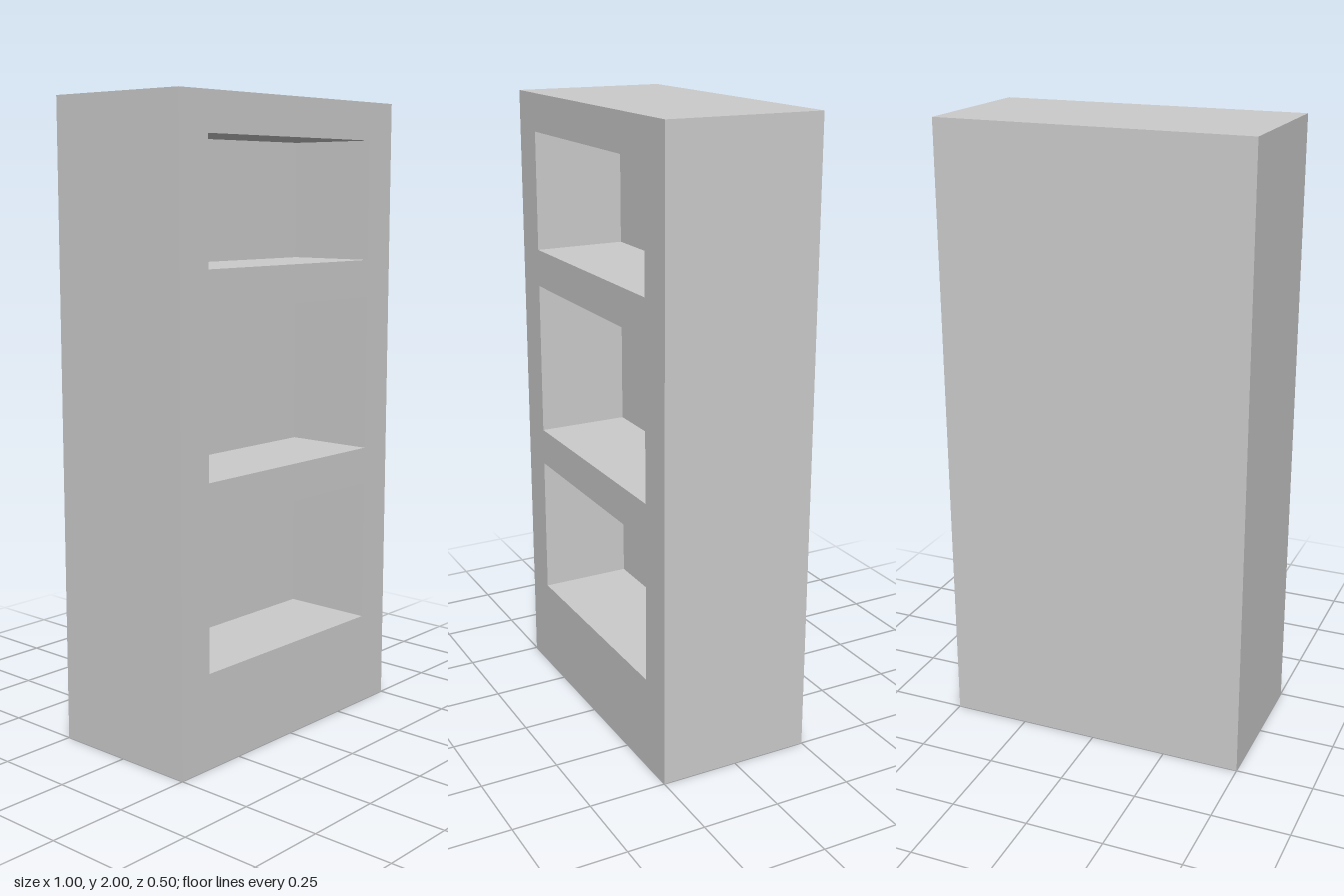
import * as THREE from 'three';

const W = 1, H = 2, D = 0.5;
const NICHE_HALF = 0.38, NICHE_DEPTH = 0.3;
// bottom and top height of each shelf opening
const NICHES = [['lowerShelf', 0.3, 0.76], ['middleShelf', 0.88, 1.38], ['upperShelf', 1.5, 1.88]];

// box without its +z face; inward = true turns it inside out
function openBox(w, h, d, inward) {
  const geo = new THREE.BoxGeometry(w, h, d);
  const index = Array.from(geo.index.array);
  index.splice(24, 6);
  if (inward) {
    index.reverse();
    const n = geo.attributes.normal;
    for (let i = 0; i < n.count; i++) n.setXYZ(i, -n.getX(i), -n.getY(i), -n.getZ(i));
  }
  geo.setIndex(index);
  geo.clearGroups();
  return geo;
}

function rectangle(path, x, y0, y1) {
  path.moveTo(-x, y0);
  path.lineTo(x, y0);
  path.lineTo(x, y1);
  path.lineTo(-x, y1);
  path.closePath();
  return path;
}

export function createModel() {
  const group = new THREE.Group();
  group.name = 'bookcase';
  const material = new THREE.MeshStandardMaterial({ color: 0xcccccc, flatShading: true });
  const add = (name, geo, y, z) => {
    const mesh = new THREE.Mesh(geo, material);
    mesh.name = name;
    mesh.position.set(0, y, z);
    group.add(mesh);
  };

  // sides, top, bottom and back
  add('cabinet', openBox(W, H, D, false), H / 2, 0);

  // front face with the three openings
  const front = rectangle(new THREE.Shape(), W / 2, 0, H);
  for (const [, y0, y1] of NICHES) front.holes.push(rectangle(new THREE.Path(), NICHE_HALF, y0, y1));
  add('frontFrame', new THREE.ShapeGeometry(front), 0, D / 2);

  // recessed shelf compartments
  for (const [name, y0, y1] of NICHES) {
    add(name, openBox(NICHE_HALF * 2, y1 - y0, NICHE_DEPTH, true), (y0 + y1) / 2, (D - NICHE_DEPTH) / 2);
  }
  return group;
}
